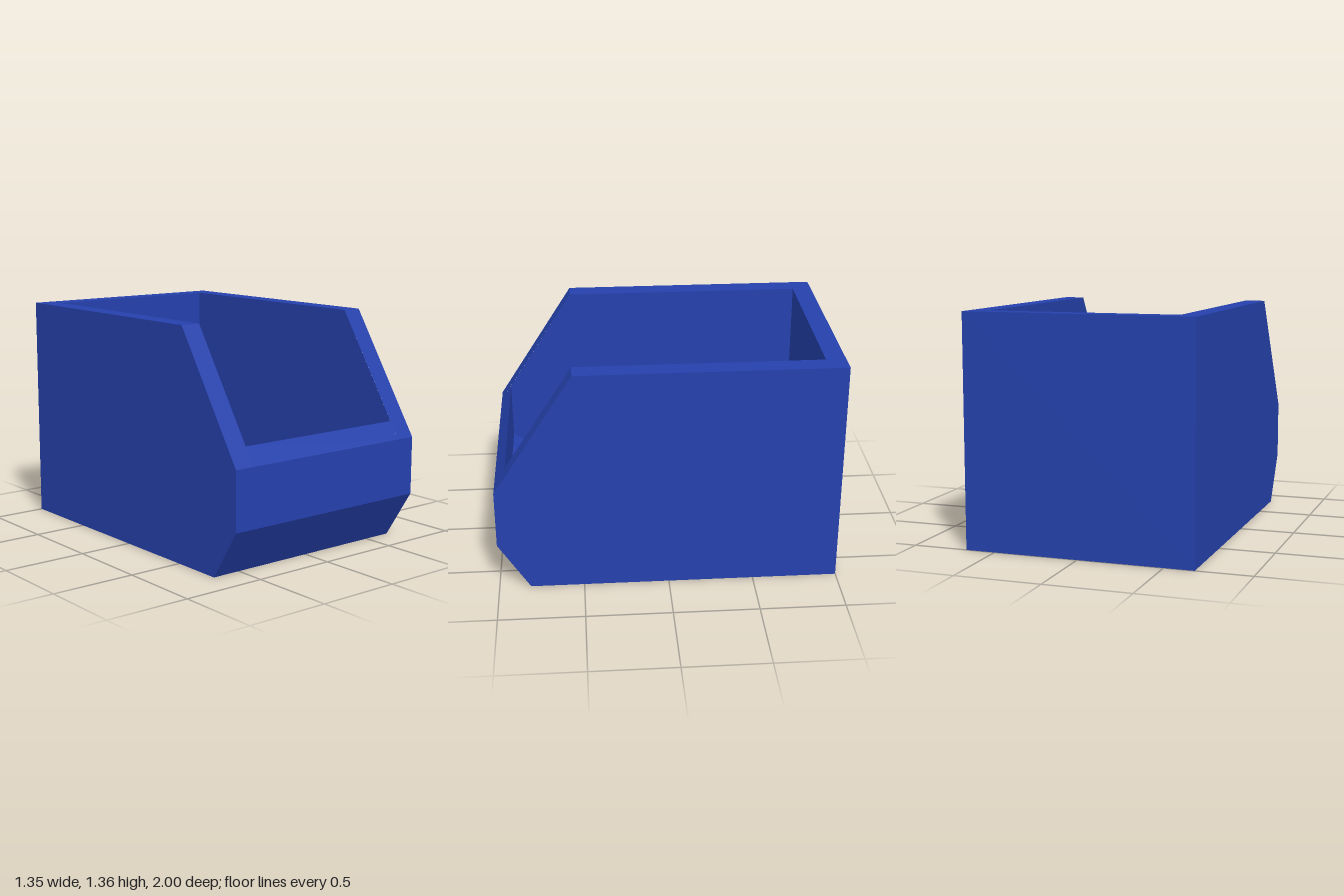
import * as THREE from 'three';

const W = 0.675;   // outer half width
const IW = 0.555;  // cavity half width

// Profiles as [z, y] points
const outer = [[-1, 1.355], [0.535, 1.355], [1, 0.635], [1, 0.29], [0.815, 0], [-1, 0]];
const cavity = [[-0.885, 1.355], [-0.885, 0.12], [0.53, 0.12], [0.935, 0.385], [0.935, 0.735]];

// Sheet of flat quads following a profile, spanning x0 to x1
function sweep(points, x0, x1) {
  const pos = [];
  for (let i = 0; i < points.length - 1; i++) {
    const [az, ay] = points[i], [bz, by] = points[i + 1];
    const a0 = [x0, ay, az], a1 = [x1, ay, az], b0 = [x0, by, bz], b1 = [x1, by, bz];
    pos.push(...a0, ...b0, ...b1, ...a0, ...b1, ...a1);
  }
  const g = new THREE.BufferGeometry();
  g.setAttribute('position', new THREE.Float32BufferAttribute(pos, 3));
  g.computeVertexNormals();
  return g;
}

// Flat panel with the given outline at x, facing +x (dir 1) or -x (dir -1)
function panel(points, x, dir) {
  const shape = new THREE.Shape(points.map(([z, y]) => new THREE.Vector2(-dir * z, y)));
  return new THREE.ShapeGeometry(shape).rotateY(dir * Math.PI / 2).translate(x, 0, 0);
}

export function createModel() {
  const group = new THREE.Group();
  group.name = 'storageBin';
  const blue = new THREE.MeshStandardMaterial({ color: 0x2541ad });
  blue.name = 'blue plastic';
  const add = (name, geometry) => {
    const mesh = new THREE.Mesh(geometry, blue);
    mesh.name = name;
    group.add(mesh);
  };

  // Front, chamfer, base and back
  add('outerShell', sweep([...outer.slice(2), outer[0]], -W, W));
  // Back wall, floor, ramp and front wall of the cavity
  add('cavityLining', sweep(cavity, -IW, IW));
  // Rim at back and front, between the side walls
  add('backRim', sweep([outer[0], cavity[0]], -IW, IW));
  add('frontRim', sweep([cavity[4], outer[2]], -IW, IW));

  // Side walls
  for (const [name, s] of [['left', 1], ['right', -1]]) {
    add(name + 'OuterWall', panel(outer, s * W, s));
    add(name + 'InnerWall', panel([...cavity, outer[1]], s * IW, -s));
    add(name + 'Rim', sweep(outer.slice(0, 3), s > 0 ? IW : -W, s > 0 ? W : -IW));
  }
  return group;
}
